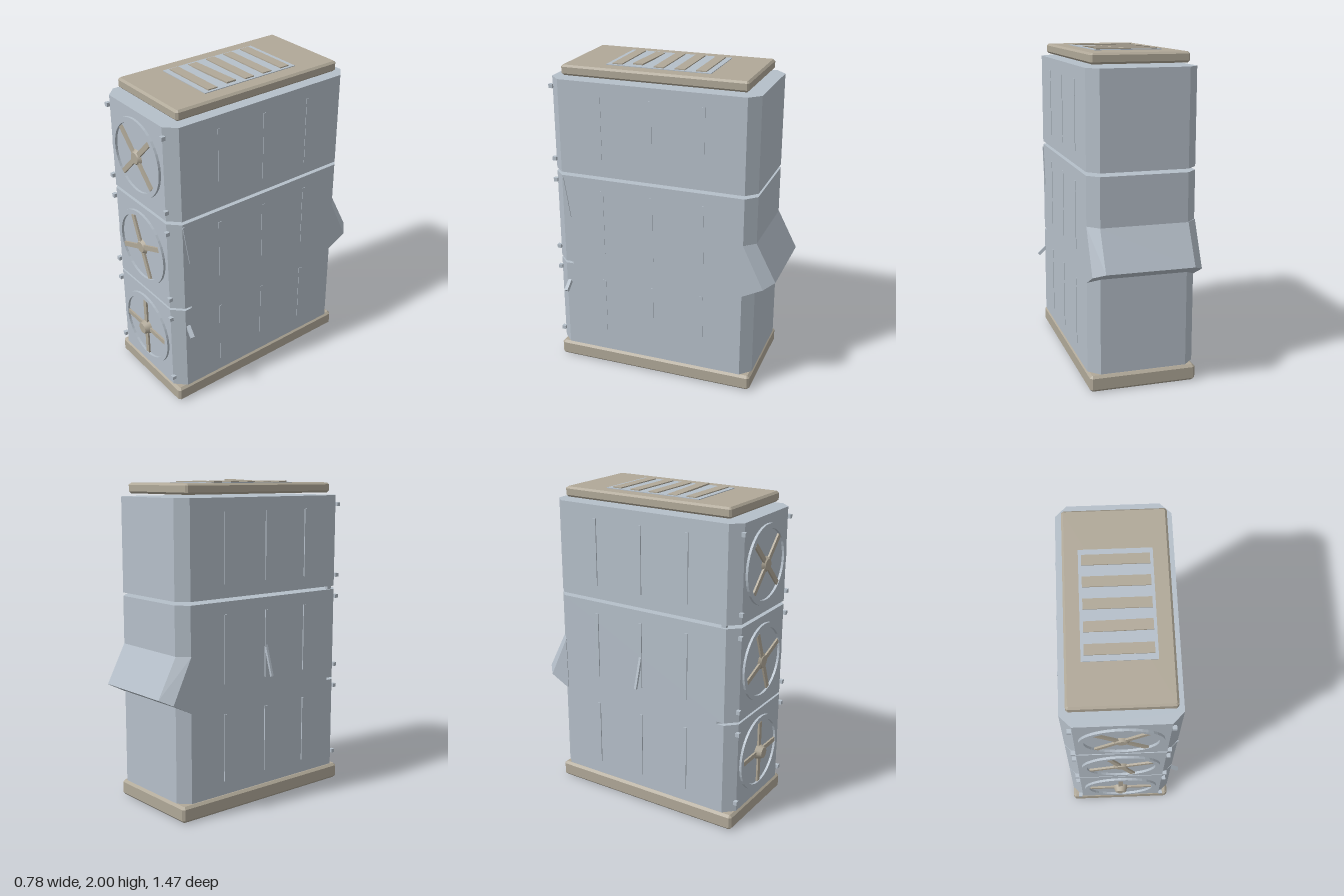
import * as THREE from 'three';
import { ConvexGeometry } from 'three/addons/geometries/ConvexGeometry.js';

const steel = new THREE.MeshStandardMaterial({ color: 0xb5bfc9 });
steel.name = 'blue grey steel';
const trim = new THREE.MeshStandardMaterial({ color: 0xb0a898 });
trim.name = 'warm grey trim';

// Upright prism with cut corners, from y0 to y1, optionally bevelled
function prism(x0, x1, z0, z1, cut, y0, y1, bevel = 0) {
  const a = x0 + bevel, b = x1 - bevel, c = -z1 + bevel, d = -z0 - bevel;
  const points = [
    [a + cut, c], [b - cut, c], [b, c + cut], [b, d - cut],
    [b - cut, d], [a + cut, d], [a, d - cut], [a, c + cut],
  ].map(([x, y]) => new THREE.Vector2(x, y));
  const geometry = new THREE.ExtrudeGeometry(new THREE.Shape(points), {
    depth: y1 - y0 - 2 * bevel, bevelEnabled: bevel > 0,
    bevelSize: bevel, bevelThickness: bevel, bevelSegments: 1,
  });
  return geometry.rotateX(-Math.PI / 2).translate(0, y0 + bevel, 0);
}

function add(parent, name, geometry, material, x = 0, y = 0, z = 0) {
  const mesh = new THREE.Mesh(geometry, material);
  mesh.name = name;
  mesh.position.set(x, y, z);
  parent.add(mesh);
  return mesh;
}

// Bar of given thickness between two points
function bar(parent, name, from, to, w, d, material) {
  const a = new THREE.Vector3(...from), b = new THREE.Vector3(...to);
  const mesh = add(parent, name, new THREE.BoxGeometry(w, a.distanceTo(b), d), material);
  mesh.position.copy(a).add(b).multiplyScalar(0.5);
  mesh.quaternion.setFromUnitVectors(new THREE.Vector3(0, 1, 0), b.sub(a).normalize());
  return mesh;
}

// Round fan with a raised rim, four blades and a hub
function makeFan(y, angle, hubDepth) {
  const fan = new THREE.Group();
  fan.name = 'fan';
  fan.position.set(0, y, 0.69);

  const rim = new THREE.Shape().absarc(0, 0, 0.24, 0, Math.PI * 2);
  rim.holes.push(new THREE.Path().absarc(0, 0, 0.21, 0, Math.PI * 2, true));
  add(fan, 'fanRim', new THREE.ExtrudeGeometry(rim, {
    depth: 0.015, bevelEnabled: false, curveSegments: 20,
  }), steel);

  const rotor = new THREE.Group();
  rotor.name = 'fanRotor';
  rotor.rotation.z = angle;
  for (let i = 0; i < 4; i++) {
    const arm = new THREE.Group();
    arm.name = 'bladeArm';
    arm.rotation.z = i * Math.PI / 2;
    add(arm, 'blade', new THREE.BoxGeometry(0.17, 0.03, 0.012), trim, 0.12, 0, 0.007);
    rotor.add(arm);
  }
  const hub = new THREE.CylinderGeometry(0.035, 0.05, hubDepth, 12).rotateX(Math.PI / 2);
  add(rotor, 'fanHub', hub, trim, 0, 0, hubDepth / 2);
  fan.add(rotor);
  return fan;
}

export function createModel() {
  const model = new THREE.Group();
  model.name = 'ventilationCabinet';

  // Plinth and roof plate
  add(model, 'base', prism(-0.33, 0.33, -0.61, 0.69, 0.005, 0, 0.1, 0.015), trim);
  add(model, 'roof', prism(-0.29, 0.3, -0.54, 0.615, 0.005, 1.917, 1.98, 0.012), trim);

  // Three stacked cabinets; the lower two join behind a shallow front groove
  for (const [y0, y1] of [[0.11, 0.695], [0.71, 1.297], [1.318, 1.9]]) {
    add(model, 'cabinet', prism(-0.328, 0.332, -0.61, 0.69, 0.065, y0, y1), steel);
  }
  add(model, 'cabinetJoint', prism(-0.328, 0.332, -0.61, 0.64, 0.065, 0.694, 0.711), steel);
  for (const [x, z] of [[-0.3, 0.6], [-0.11, 0.2], [-0.11, -0.11]]) {
    add(model, 'spacer', new THREE.BoxGeometry(0.025, 0.025, 0.03), steel, x, 1.307, z);
  }

  // Fans, corner bolts and side ribs on each cabinet
  const fans = [[0.405, 0, 0.042], [1.01, 0.37, 0.018], [1.61, Math.PI / 4, 0.02]];
  for (const [y, angle, hubDepth] of fans) {
    model.add(makeFan(y, angle, hubDepth));
    for (const side of [-1, 1]) {
      for (const dy of [-0.23, 0.23]) {
        add(model, 'bolt', new THREE.BoxGeometry(0.024, 0.024, 0.025), steel, side * 0.278, y + dy, 0.695);
      }
      for (const z of [0.36, 0.035, -0.29]) {
        add(model, 'sideRib', new THREE.BoxGeometry(0.008, 0.42, 0.02), steel, side * 0.331, y, z);
      }
    }
  }

  // Rear rain hood with cut corners
  const hoodPoints = [];
  for (const s of [-1, 1]) {
    for (const [x, y, z] of [
      [0.268, 1, -0.61], [0.332, 1, -0.545], [0.268, 0.76, -0.735],
      [0.332, 0.73, -0.675], [0.332, 0.66, -0.54],
    ]) hoodPoints.push(new THREE.Vector3(s * x, y, z));
  }
  add(model, 'rearHood', new ConvexGeometry(hoodPoints), steel);

  // Roof vent: inset panel and five slats, one of them lifted
  add(model, 'ventPanel', new THREE.BoxGeometry(0.41, 0.006, 0.65), steel, 0.003, 1.981, 0.035);
  for (let i = 0; i < 5; i++) {
    const slat = add(model, 'ventSlat', new THREE.BoxGeometry(0.375, 0.009, 0.062), trim, 0.003, 1.986, -0.225 + i * 0.13);
    if (i === 3) {
      slat.rotation.z = 0.035;
      slat.position.y = 1.989;
    }
  }

  // Side lever, hooked handle and loose edge strip
  bar(model, 'sideLever', [-0.328, 1, 0.035], [-0.385, 0.81, 0.035], 0.015, 0.016, steel);
  bar(model, 'sideHandle', [0.325, 0.57, 0.605], [0.38, 0.515, 0.612], 0.02, 0.025, steel);
  bar(model, 'edgeStrip', [0.333, 1.28, 0.62], [0.333, 1.02, 0.58], 0.01, 0.01, steel);

  return model;
}
